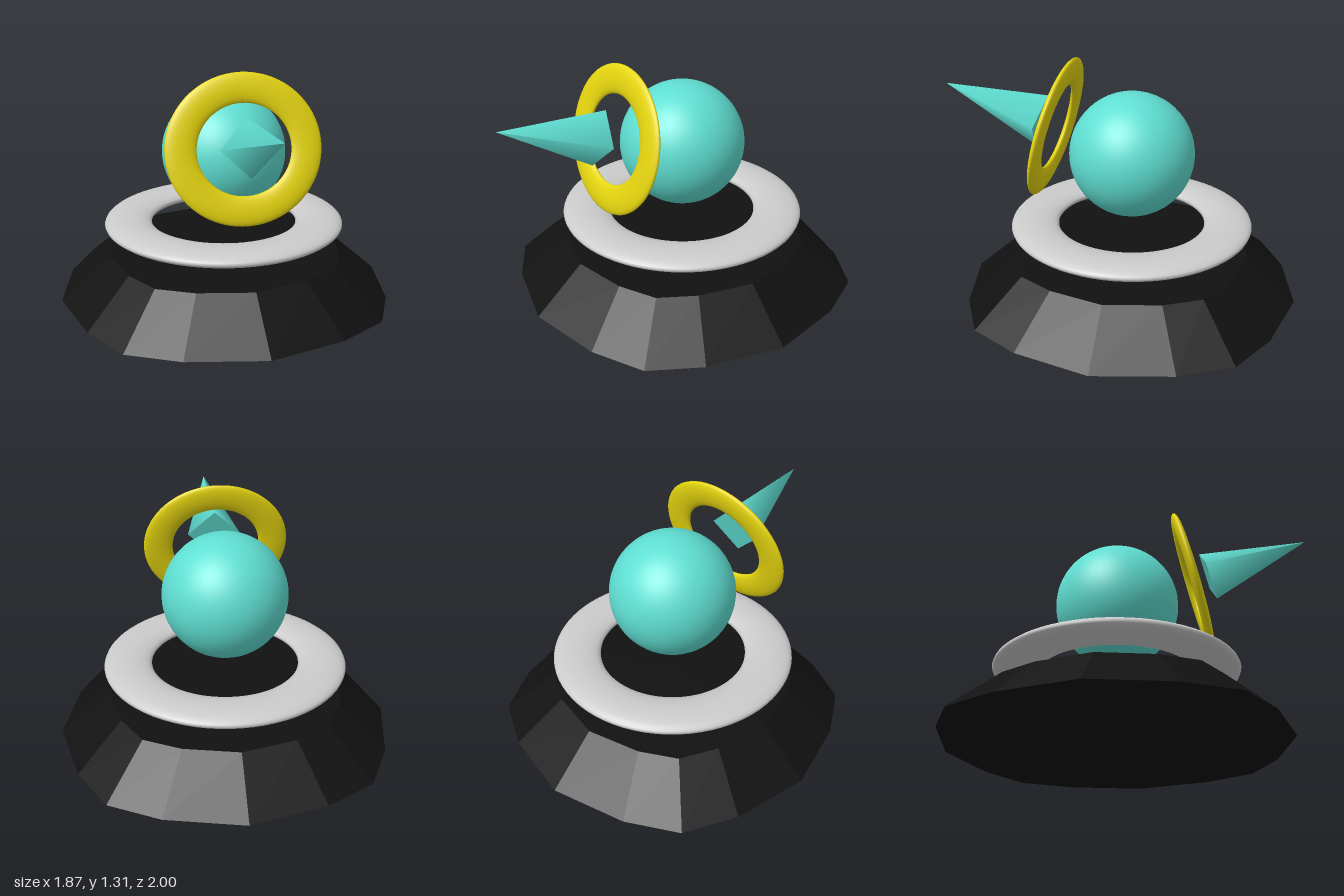
import * as THREE from 'three';

const TEAL = 0x5fded2, YELLOW = 0xe6d60f, BLACK = 0x111111, GREY = 0xcccccc;
const AXIS_Z = -0.066; // shared centre line of base, ring and ball

function add(group, name, geometry, color, position, options = {}) {
  const mesh = new THREE.Mesh(geometry, new THREE.MeshStandardMaterial({ color, ...options }));
  mesh.name = name;
  mesh.position.set(...position);
  group.add(mesh);
  return mesh;
}

// Sixteen-sided tapered plinth; corners pulled slightly outwards on the diagonals
function baseGeometry() {
  const corners = [[0, 0.933], [0.418, 0.836], [0.69, 0.69], [0.836, 0.418]];
  const geometry = new THREE.CylinderGeometry(0.71, 1, 0.24, 16);
  const pos = geometry.attributes.position;
  for (let i = 0; i < pos.count; i++) {
    const x = pos.getX(i), z = pos.getZ(i), r = Math.hypot(x, z);
    if (r < 0.01) continue;
    const side = (Math.round(Math.atan2(x, z) / (Math.PI / 8)) + 16) % 16;
    const [cx, cz] = corners[side % 4];
    const turn = Math.floor(side / 4) * Math.PI / 2;
    const c = Math.cos(turn), s = Math.sin(turn);
    pos.setX(i, r * (cx * c + cz * s));
    pos.setZ(i, r * (cz * c - cx * s));
  }
  geometry.computeVertexNormals();
  return geometry;
}

export function createModel() {
  const model = new THREE.Group();
  model.name = 'model';

  add(model, 'base', baseGeometry(), BLACK, [0, 0.12, AXIS_Z], { flatShading: true });

  // Flattened ring floating over the base
  const ring = add(model, 'floorRing', new THREE.TorusGeometry(0.54, 0.132, 24, 72), GREY, [0, 0.4, AXIS_Z]);
  ring.rotation.x = Math.PI / 2;
  ring.scale.z = 0.32;

  add(model, 'ball', new THREE.SphereGeometry(0.343, 48, 32), TEAL, [0, 0.804, AXIS_Z]);

  // Thin ring leaning back in front of the ball
  const hoop = add(model, 'frontRing', new THREE.TorusGeometry(0.331, 0.082, 24, 72), YELLOW, [0, 0.927, 0.362]);
  hoop.rotation.x = -0.243;
  hoop.scale.set(1, 0.95, 0.3);

  // Four-sided spike pointing forwards and slightly up
  const spike = add(model, 'spike', new THREE.ConeGeometry(0.152, 0.577, 4), TEAL, [0, 1.043, 0.725]);
  spike.rotation.x = Math.PI / 2 - 0.305;

  return model;
}
